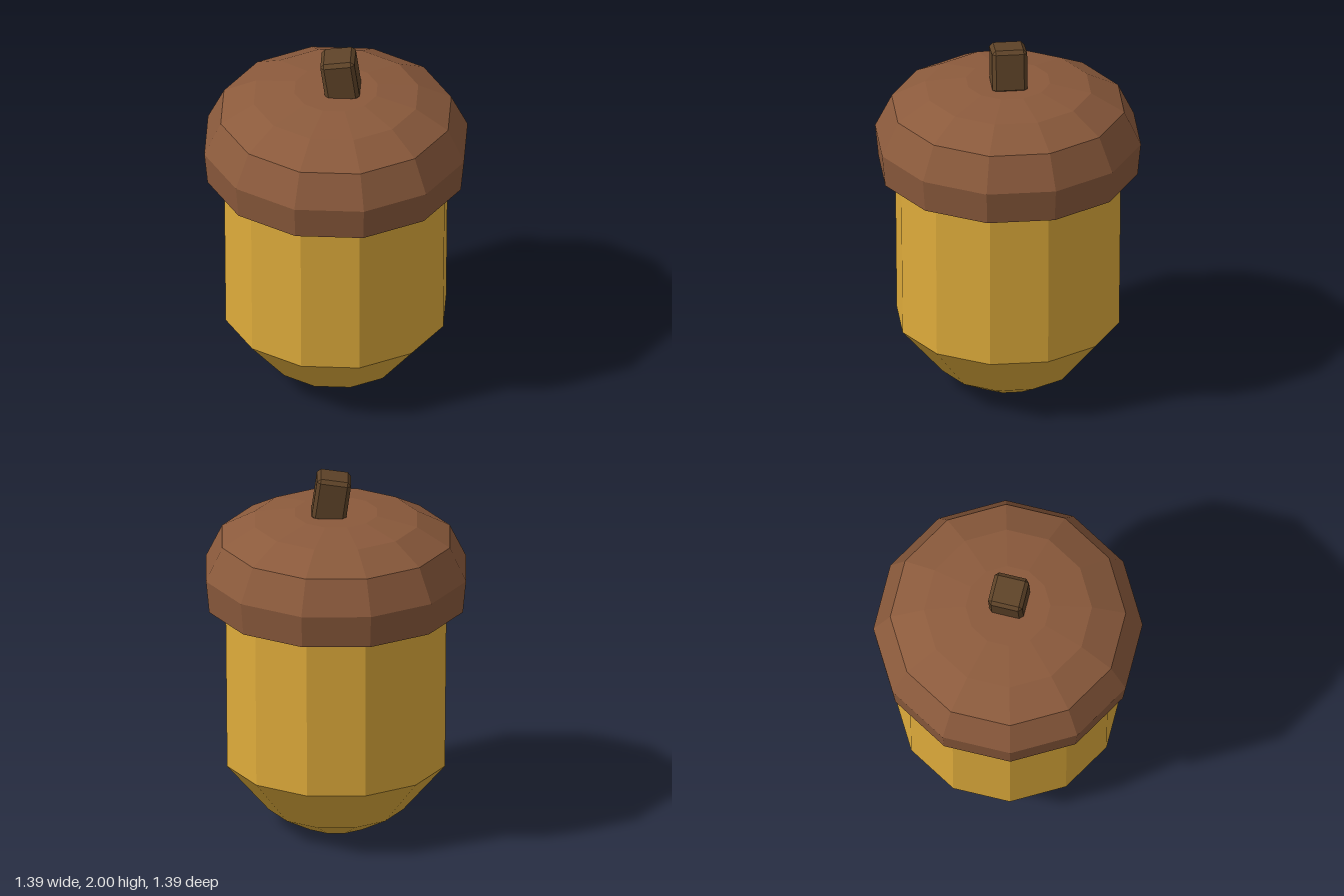
import * as THREE from 'three';
import { ConvexGeometry } from 'three/addons/geometries/ConvexGeometry.js';

const SIDES = 12;
const HALF = Math.PI / SIDES;

// Faceted solid of revolution; each profile entry is [distance to flat side, height]
function facetedLathe(profile) {
  const points = profile.map(([r, y]) => new THREE.Vector2(r / Math.cos(HALF), y));
  const geometry = new THREE.LatheGeometry(points, SIDES, HALF).toNonIndexed();
  geometry.computeVertexNormals();
  return geometry;
}

// Box with all edges chamfered
function chamferedBox(w, h, d, bevel) {
  const points = [];
  for (const x of [-1, 1]) for (const y of [-1, 1]) for (const z of [-1, 1]) {
    for (let axis = 0; axis < 3; axis++) {
      const p = [w, h, d].map((size, i) => size / 2 - (i === axis ? 0 : bevel));
      points.push(new THREE.Vector3(x * p[0], y * p[1], z * p[2]));
    }
  }
  return new ConvexGeometry(points);
}

export function createModel() {
  const nutGold = new THREE.MeshStandardMaterial({ color: 0xdfac3b });
  nutGold.name = 'nutGold';
  const capBrown = new THREE.MeshStandardMaterial({ color: 0x8b5a3c });
  capBrown.name = 'capBrown';
  const stemBrown = new THREE.MeshStandardMaterial({ color: 0x5e4328 });
  stemBrown.name = 'stemBrown';

  const group = new THREE.Group();
  group.name = 'acorn';
  const add = (name, geometry, material) => {
    const mesh = new THREE.Mesh(geometry, material);
    mesh.name = name;
    group.add(mesh);
    return mesh;
  };

  // Nut body, its top hidden inside the cap
  add('nut', facetedLathe([
    [0, 0], [0.19, 0], [0.36, 0.1], [0.584, 0.375], [0.592, 1.3], [0, 1.3],
  ]), nutGold);

  // Domed cap with an overhanging rim
  add('cap', facetedLathe([
    [0, 1.275], [0.68, 1.275], [0.697, 1.455], [0.61, 1.64],
    [0.435, 1.74], [0.22, 1.78], [0, 1.78],
  ]), capBrown);

  // Square stem, leaning slightly
  const stem = add('stem', chamferedBox(0.185, 0.24, 0.19, 0.02), stemBrown);
  stem.position.set(0.025, 1.872, 0);
  stem.rotation.z = 0.14;

  return group;
}
